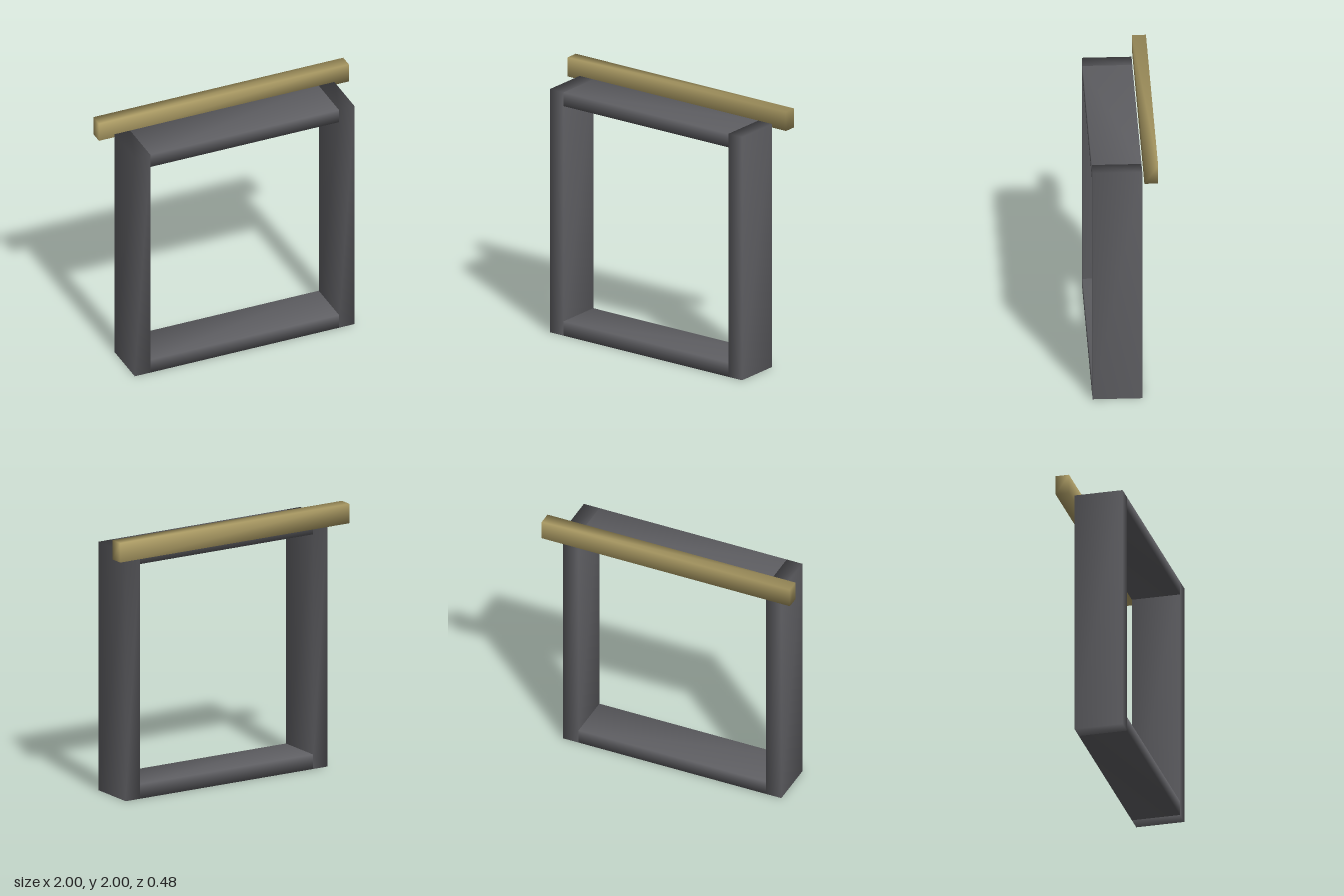
import * as THREE from 'three';
import { mergeVertices } from 'three/addons/utils/BufferGeometryUtils.js';

// Box between two corners, with normals smoothed across its edges
function softBox(name, min, max, material) {
  const size = max.map((v, i) => v - min[i]);
  let geometry = new THREE.BoxGeometry(...size);
  geometry.deleteAttribute('uv');
  geometry.deleteAttribute('normal');
  geometry = mergeVertices(geometry);
  geometry.computeVertexNormals();
  const mesh = new THREE.Mesh(geometry, material);
  mesh.name = name;
  mesh.position.set(...max.map((v, i) => (v + min[i]) / 2));
  return mesh;
}

export function createModel() {
  const model = new THREE.Group();
  model.name = 'frameWithCrossbar';
  const dark = new THREE.MeshStandardMaterial({ color: 0x5e5e62 });
  const brass = new THREE.MeshStandardMaterial({ color: 0xa89862 });

  const outer = 0.88, inner = 0.755, height = 1.885;
  const front = 0.237, back = -0.127;

  // Upright posts
  model.add(softBox('leftPost', [inner, 0, back], [outer, height, front], dark));
  model.add(softBox('rightPost', [-outer, 0, back], [-inner, height, front], dark));

  // Rails between the posts
  model.add(softBox('bottomRail', [-inner, 0, back], [inner, 0.11, front], dark));
  model.add(softBox('topRail', [-inner, 1.78, back], [inner, height, front], dark));

  // Long bar behind the top of the frame
  model.add(softBox('crossbar', [-1, 1.853, -0.238], [1, 2, -0.137], brass));
  return model;
}
